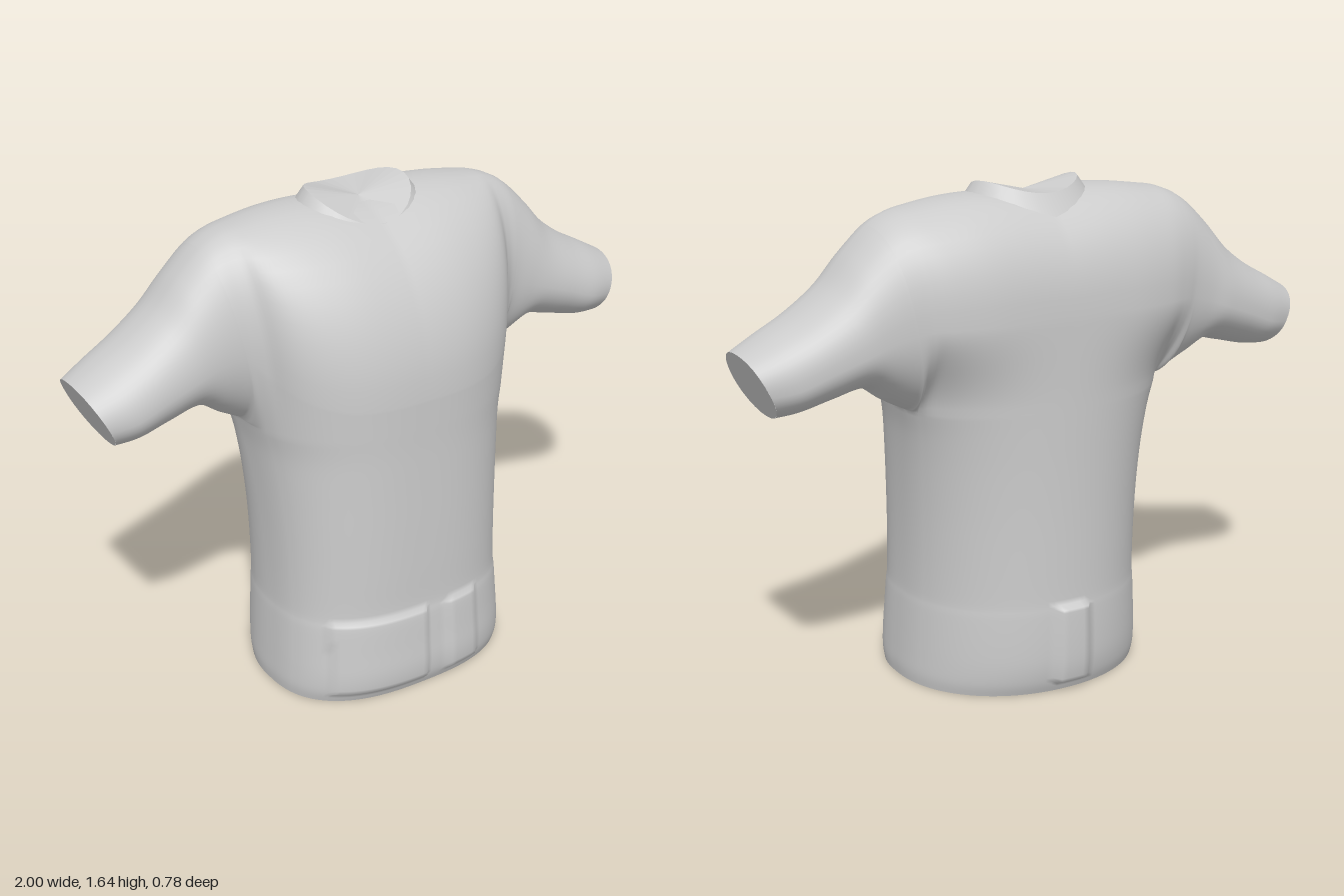
import * as THREE from 'three';
import { mergeVertices } from 'three/addons/utils/BufferGeometryUtils.js';

const ZC = -0.07; // depth of the shoulder and sleeve axis
const YJ = 0.95; // height where the torso tube meets the yoke
const ARMPIT = 5; // station index of the armpit

// Stations from the neck to the cuff:
// top x, top y, bottom x, bottom y, front depth, back depth, widest y in front, widest y behind
const STATIONS = [
  [0, 1.59, 0, YJ, 0.42, 0.29, 1.05, 1.24],
  [0.16, 1.603, 0.14, YJ, 0.41, 0.29, 1.05, 1.24],
  [0.29, 1.6, 0.26, YJ, 0.375, 0.285, 1.06, 1.24],
  [0.41, 1.585, 0.36, YJ, 0.295, 0.268, 1.1, 1.24],
  [0.49, 1.57, 0.43, YJ, 0.21, 0.245, 1.17, 1.24],
  [0.56, 1.535, 0.455, YJ, 0.18, 0.228, 1.22, 1.23],
  [0.64, 1.46, 0.53, 0.99, 0.17, 0.215, 1.21, 1.21],
  [0.72, 1.37, 0.62, 1.045, 0.168, 0.21, 1.18, 1.18],
  [0.82, 1.295, 0.73, 1.025, 0.168, 0.195, 1.14, 1.14],
  [0.92, 1.24, 0.83, 1.0, 0.165, 0.175, 1.1, 1.1],
  [1.0, 1.195, 0.905, 0.99, 0.145, 0.148, 1.085, 1.085],
];

// Torso rings: y, half width, front z, back z, side seam z
const RINGS = [
  [0, 0.425, 0.355, -0.34, 0.04], [0.04, 0.428, 0.37, -0.355, 0.04],
  [0.1, 0.425, 0.375, -0.365, 0.04], [0.18, 0.42, 0.37, -0.367, 0.037],
  [0.27, 0.414, 0.364, -0.365, 0.033], [0.32, 0.41, 0.358, -0.362, 0.03],
  [0.45, 0.41, 0.357, -0.36, 0.02], [0.6, 0.415, 0.355, -0.358, 0.005],
  [0.75, 0.425, 0.352, -0.357, -0.02], [0.87, 0.438, 0.35, -0.357, -0.05],
  [YJ, 0.455, 0.35, -0.357, ZC],
];
const JOINT = RINGS[RINGS.length - 1];

// Raised hem panels: side, left x, right x, height
const PANELS = [[1, -0.33, 0, 0.012], [1, 0.08, 0.2, 0.012], [-1, -0.05, 0.05, 0.025]];

// Smooth interpolation between table rows
function sample(rows, t) {
  const n = rows.length - 1, i = Math.min(Math.floor(t), n - 1), f = t - i;
  const [a, b, c, d] = [-1, 0, 1, 2].map((k) => rows[Math.min(Math.max(i + k, 0), n)]);
  return b.map((v, k) => {
    const m0 = (c[k] - a[k]) / 2, m1 = (d[k] - v) / 2;
    return v + f * (m0 + f * (3 * (c[k] - v) - 2 * m0 - m1 + f * (2 * (v - c[k]) + m0 + m1)));
  });
}

// Torso depth at a fraction of the half width; the front is squarer than the back
function outline([, , front, back, seam], k, side) {
  const e = side > 0 ? 2.6 : 2.1;
  const curve = Math.pow(Math.max(0, 1 - Math.pow(Math.min(1, k), e)), 1 / e);
  return curve * (side > 0 ? front - seam : seam - back);
}

// Station at a signed column, packed closer towards the armpit
const PER = 7, LAST = (STATIONS.length - 1) * PER, SEAM = ARMPIT * PER;
function station(i) {
  let t = Math.abs(i) / PER;
  if (t > ARMPIT - 1 && t < ARMPIT) t = ARMPIT - Math.pow(ARMPIT - t, 2);
  const s = sample(STATIONS, t);
  if (t <= ARMPIT) s[3] = YJ;
  return s;
}

// Point on the yoke and sleeves; v runs from the lower edge to the top ridge
function yokePoint(i, v, side) {
  const [xT, yT, xB, yB, F, B, yF, yK] = station(i);
  const yM = side > 0 ? yF : yK;
  const base = Math.abs(i) < SEAM ? outline(JOINT, xB / JOINT[1], side) : 0;
  const depth = Math.max(base, side > 0 ? F : B);
  let y, z;
  if (v < 0.5) {
    // Smooth S-curve out of the torso, turning into a round underarm on the sleeves
    const q = v * Math.PI, f = v * 2;
    const round = THREE.MathUtils.smoothstep(Math.abs(i) / PER, ARMPIT - 1.5, ARMPIT);
    const out = THREE.MathUtils.lerp(f * f * (3 - 2 * f), Math.sin(q), round);
    const up = THREE.MathUtils.lerp(f, 1 - Math.cos(q), round);
    z = base + (depth - base) * out;
    y = yB + (yM - yB) * up;
  } else {
    const q = (v - 0.5) * Math.PI, e = side > 0 ? 1 : 0.85;
    z = v === 1 ? 0 : depth * Math.pow(Math.cos(q), e);
    y = yM + (yT - yM) * Math.pow(Math.sin(q), e);
  }
  const x = xB + (xT - xB) * (y - yB) / (yT - yB);
  return [Math.sign(i) * x, y, ZC + side * z];
}

// Point on the torso tube, with raised panels around the hem
function torsoPoint(i, v, side) {
  const ring = sample(RINGS, v * (RINGS.length - 1)), y = ring[0];
  const k = Math.abs(i) === SEAM ? 1 : station(i)[2] / JOINT[1];
  const x = Math.sign(i) * k * ring[1];
  const panel = PANELS.find(([s, l, r]) => s === side && x > l && x < r && y > 0.03 && y < 0.3);
  return [x, y, ring[4] + side * (outline(ring, k, side) + (panel ? panel[3] : 0))];
}

// Adds a grid of quads facing outwards for the front (side 1) or back (side -1)
function addGrid(out, last, rows, point, side) {
  const tri = (...p) => (side > 0 ? p : p.reverse()).forEach((q) => out.push(...q));
  for (let i = -last; i < last; i++) {
    for (let j = 0; j < rows; j++) {
      const a = point(i, j / rows, side), b = point(i + 1, j / rows, side);
      const c = point(i + 1, (j + 1) / rows, side), d = point(i, (j + 1) / rows, side);
      tri(a, b, c);
      tri(a, c, d);
    }
  }
}

function toGeometry(values, smooth) {
  let g = new THREE.BufferGeometry();
  g.setAttribute('position', new THREE.Float32BufferAttribute(values, 3));
  if (smooth) g = mergeVertices(g, 1e-4);
  g.computeVertexNormals();
  return g;
}

// Closes a loop of points with a fan around a centre
function fan(loop, centre) {
  return toGeometry(loop.flatMap((p, i) => [...centre, ...p, ...loop[(i + 1) % loop.length]]), false);
}

export function createModel() {
  const group = new THREE.Group();
  const material = new THREE.MeshStandardMaterial({ color: 0xcccccc, side: THREE.DoubleSide });
  const add = (name, geometry) => {
    const mesh = new THREE.Mesh(geometry, material);
    mesh.name = name;
    group.add(mesh);
  };

  // Torso, shoulders and sleeves as one welded cloth surface, open at the hem
  const cloth = [];
  for (const side of [1, -1]) {
    addGrid(cloth, LAST, 24, yokePoint, side);
    addGrid(cloth, SEAM, 40, torsoPoint, side);
  }
  add('shirtBody', toGeometry(cloth, true));

  // Closures in the sleeve ends
  for (const s of [1, -1]) {
    const loop = [];
    for (let j = 0; j < 12; j++) loop.push(yokePoint(s * LAST, j / 12, 1));
    for (let j = 12; j > 0; j--) loop.push(yokePoint(s * LAST, j / 12, -1));
    if (s > 0) loop.reverse();
    add(s > 0 ? 'leftCuff' : 'rightCuff', fan(loop, [s * 0.955, 1.095, ZC]));
  }

  // Collar: a saddle-shaped rim sloping into the shoulders, closed by a shallow cap
  const N = 28, rim = [], skirt = [];
  for (let i = 0; i < N; i++) {
    const a = (i / N) * Math.PI * 2, c = Math.cos(a), s = Math.sin(a);
    const y = 1.575 - 0.028 * s + 0.06 * c * c;
    rim.push([0.175 * c, y, -0.055 + 0.15 * s]);
    skirt.push([0.23 * c, y - 0.075 + 0.015 * s, -0.055 + (s > 0 ? 0.19 : 0.21) * s]);
  }
  const wall = [];
  for (let i = 0; i < N; i++) {
    const k = (i + 1) % N;
    wall.push(...skirt[i], ...rim[i], ...rim[k], ...skirt[i], ...rim[k], ...skirt[k]);
  }
  add('collar', toGeometry(wall, true));
  add('neckCap', fan([...rim].reverse(), [0, 1.597, -0.05]));

  return group;
}
